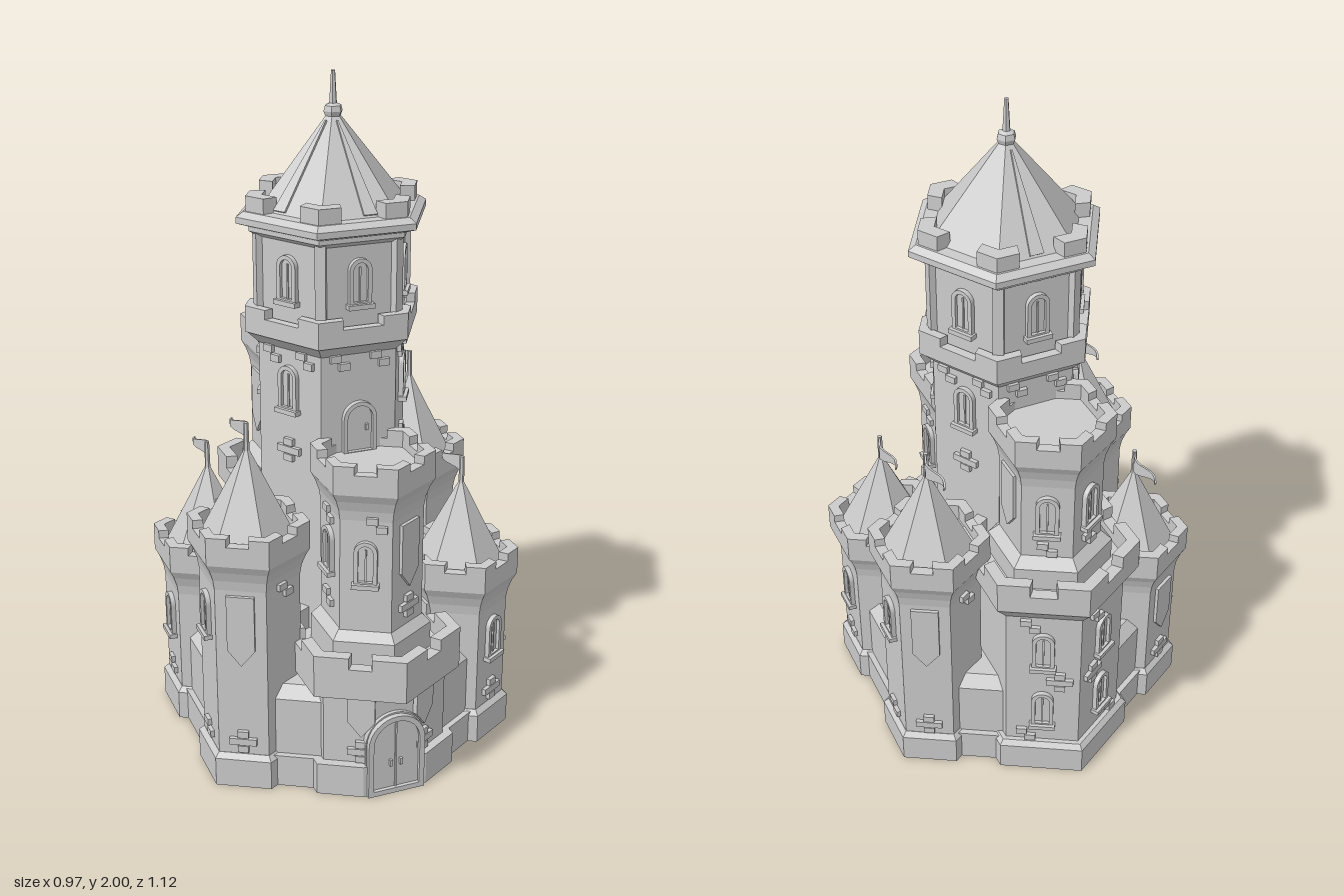
import * as THREE from 'three';

const mat = new THREE.MeshStandardMaterial({ color: 0xcccccc, flatShading: true, side: THREE.DoubleSide });
const DEG = Math.PI / 180;

function add(parent, name, geo, x = 0, y = 0, z = 0) {
  const m = new THREE.Mesh(geo, mat);
  m.name = name;
  m.position.set(x, y, z);
  parent.add(m);
  return m;
}
function group(parent, name, x = 0, y = 0, z = 0, ry = 0) {
  const g = new THREE.Group();
  g.name = name;
  g.position.set(x, y, z);
  g.rotation.y = ry;
  parent.add(g);
  return g;
}
const box = (w, h, d) => new THREE.BoxGeometry(w, h, d);

// six-sided solid from [radius, y] pairs, a corner pointing to +z
const hexLathe = (pts) => new THREE.LatheGeometry(pts.map(([r, y]) => new THREE.Vector2(r, y)), 6);

// plan shape ([x, z] points) extruded upwards from y0 to y1
function slab(points, y0, y1) {
  const s = new THREE.Shape(points.map(([x, z]) => new THREE.Vector2(x, -z)));
  return new THREE.ExtrudeGeometry(s, { depth: y1 - y0, bevelEnabled: false }).rotateX(-Math.PI / 2).translate(0, y0, 0);
}
const corner = (r, k) => [r * Math.sin(k * 60 * DEG), r * Math.cos(k * 60 * DEG)];

// hexagonal prism whose front corner is cut flat at z = cut; the top can shrink
function cutPrism(r, cut, y0, y1, top = 1) {
  const pts = [];
  if (cut < r) {
    const h = (r - cut) * Math.sqrt(3);
    pts.push([-h, cut], [h, cut]);
  } else pts.push([0, r]);
  for (let k = 1; k < 6; k++) pts.push(corner(r, k));
  const g = slab(pts, y0, y1), p = g.attributes.position;
  for (let i = 0; i < p.count; i++) {
    if (p.getY(i) > y1 - 1e-4) p.setXYZ(i, p.getX(i) * top, y1, p.getZ(i) * top);
  }
  g.computeVertexNormals();
  return g;
}

// corner-wrapping battlements on a hexagonal rim
function battlements(parent, rOut, rIn, y0, y1, gap) {
  const f = (1 - gap) / 2;
  const along = (r, a, b) => {
    const p = corner(r, a), q = corner(r, b);
    return [p[0] + (q[0] - p[0]) * f, p[1] + (q[1] - p[1]) * f];
  };
  for (let k = 0; k < 6; k++) {
    add(parent, 'battlement', slab([along(rOut, k, k - 1), corner(rOut, k), along(rOut, k, k + 1),
      along(rIn, k, k + 1), corner(rIn, k), along(rIn, k, k - 1)], y0, y1));
  }
}

// frame on a wall face: centre of the tower, wall distance, heading in degrees
function onFace(parent, name, dist, deg, y, shift = 0) {
  const g = group(parent, name, 0, y, 0, deg * DEG);
  return group(g, name + 'Mount', shift, 0, dist);
}

function archShape(w, h, Type = THREE.Shape) {
  const s = new Type();
  s.moveTo(-w / 2, 0);
  s.lineTo(w / 2, 0);
  s.lineTo(w / 2, h - w / 2);
  s.absarc(0, h - w / 2, w / 2, 0, Math.PI, false);
  s.lineTo(-w / 2, 0);
  return s;
}
const extrude = (s, depth) => new THREE.ExtrudeGeometry(s, { depth, bevelEnabled: false, curveSegments: 8 });

function arch(parent, w, h, rim, depth) {
  const frame = archShape(w, h);
  frame.holes.push(archShape(w - 2 * rim, h - 2 * rim, THREE.Path));
  frame.holes[0].curves.forEach((c) => {
    for (const k of ['v1', 'v2']) if (c[k]) c[k] = c[k].clone().add(new THREE.Vector2(0, rim));
    if (c.aY !== undefined) c.aY += rim;
  });
  add(parent, 'archFrame', extrude(frame, depth + 0.005), 0, 0, -0.005);
  add(parent, 'archPanel', extrude(archShape(w - rim, h - rim), 0.007), 0, 0, -0.003);
}

function windowAt(t, dist, deg, y, shift = 0) {
  const g = onFace(t, 'window', dist, deg, y - 0.065, shift);
  arch(g, 0.066, 0.135, 0.012, 0.014);
  add(g, 'windowSill', box(0.078, 0.014, 0.036), 0, 0, 0.006);
  add(g, 'windowBar', box(0.005, 0.1, 0.01), 0, 0.06, 0.003);
}

function shieldAt(t, dist, deg, y, h = 0.2) {
  const w = 0.04, s = new THREE.Shape();
  [[-w, h / 2], [-w, -h / 2 + 0.05], [0, -h / 2], [w, -h / 2 + 0.05], [w, h / 2]]
    .forEach(([x, v], i) => (i ? s.lineTo(x, v) : s.moveTo(x, v)));
  add(onFace(t, 'shield', dist, deg, y), 'shieldPlate', extrude(s, 0.014), 0, 0, -0.004);
}

// small groups of raised stones
const CROSS = [[0, 0.024], [-0.024, 0], [0.024, 0], [0, -0.024], [0, 0]];
const PAIR = [[-0.012, 0.013], [0.014, -0.012]];
function stonesAt(t, dist, deg, y, layout = PAIR, shift = 0) {
  const g = onFace(t, 'stones', dist, deg, y, shift);
  for (const [x, v] of layout) add(g, 'stone', box(0.032, 0.021, 0.024), x, v, 0);
}

// slim round tower whose battlements end at y = top
function tower(parent, name, x, z, y0, top) {
  const t = group(parent, name, x, 0, z);
  add(t, 'towerBody', hexLathe([[0, y0], [0.147, y0], [0.147, top - 0.17], [0.152, top - 0.14], [0.163, top - 0.11],
    [0.177, top - 0.085], [0.177, top - 0.025], [0.143, top - 0.025], [0.143, top - 0.05], [0, top - 0.05]]));
  battlements(t, 0.177, 0.143, top - 0.027, top, 0.36);
  return t;
}

function cornerTower(parent, name, x, z, top) {
  const t = tower(parent, name, x, z, 0, top);
  add(t, 'towerFoot', hexLathe([[0, 0], [0.164, 0], [0.164, 0.09], [0.148, 0.105], [0, 0.105]]));
  add(t, 'towerRoof', hexLathe([[0, top - 0.05], [0.138, top - 0.05], [0.008, top + 0.205], [0, top + 0.205]]));
  add(t, 'flagPole', new THREE.CylinderGeometry(0.007, 0.009, 0.1, 6), 0, top + 0.235, 0);
  // waving pennant streaming to the back
  const flag = new THREE.BoxGeometry(0.006, 1, 0.125, 1, 1, 8), p = flag.attributes.position;
  for (let i = 0; i < p.count; i++) {
    const u = 0.5 - p.getZ(i) / 0.125;
    p.setX(i, p.getX(i) + 0.012 * Math.sin(u * 6.2));
    p.setY(i, p.getY(i) * 0.062 * (1 - 0.9 * u));
  }
  add(t, 'pennant', flag, 0, top + 0.25, -0.065);
  return t;
}

export function createModel() {
  const castle = new THREE.Group();
  castle.name = 'castle';

  // foundation and curtain wall
  add(castle, 'foundation', cutPrism(0.52, 0.49, 0, 0.1));
  add(castle, 'curtainWall', cutPrism(0.5, 0.475, 0.1, 0.28));
  add(castle, 'curtainWallTop', cutPrism(0.5, 0.475, 0.28, 0.315, 0.93));

  // corner towers
  const body = 0.1273;
  const towers = [[1, 1, 0.6], [1, -1, 0.805], [-1, 1, 0.805], [-1, -1, 0.6]];
  for (const [sx, sz, top] of towers) {
    const tall = top > 0.7;
    const t = cornerTower(castle, tall ? 'tallCornerTower' : 'shortCornerTower', 0.333 * sx, 0.192 * sz, top);
    const diag = sz > 0 ? 30 * sx : 150 * sx, inner = sz > 0 ? -30 * sx : -150 * sx;
    windowAt(t, body, 90 * sx, tall ? 0.53 : 0.33);
    stonesAt(t, body, 90 * sx, 0.15);
    stonesAt(t, body, diag, 0.15, CROSS);
    stonesAt(t, body, inner, tall ? 0.62 : 0.22);
    if (!tall && sz > 0) windowAt(t, body, diag, 0.33);
    else shieldAt(t, body, diag, tall ? 0.51 : 0.33, tall ? 0.22 : 0.19);
  }

  // gatehouse: clipped lower storey, balcony, upper tower and gate
  const front = group(castle, 'gatehouse', 0, 0, 0.297);
  add(front, 'gatehouseFoot', cutPrism(0.25, 0.193, 0, 0.1));
  add(front, 'gatehouseBody', cutPrism(0.22, 0.178, 0.1, 0.34));
  add(front, 'balcony', hexLathe([[0, 0.33], [0.262, 0.33], [0.262, 0.425], [0.222, 0.425], [0.222, 0.39], [0, 0.39]]));
  battlements(front, 0.262, 0.222, 0.423, 0.46, 0.25);
  add(front, 'towerSkirt', hexLathe([[0.175, 0.39], [0.175, 0.47], [0.147, 0.5]]));
  const gate = group(front, 'gate', 0, 0, 0.19);
  add(gate, 'gatePorch', extrude(archShape(0.18, 0.26), 0.02), 0, 0, -0.021);
  arch(gate, 0.175, 0.255, 0.016, 0.015);
  add(gate, 'doorSeam', box(0.005, 0.22, 0.008), 0, 0.12, 0.004);
  for (const s of [-1, 1]) {
    add(gate, 'doorHandle', box(0.008, 0.02, 0.014), 0.016 * s, 0.1, 0.006);
    shieldAt(front, 0.1905, 30 * s, 0.265, 0.15);
    stonesAt(front, 0.1905, 30 * s, 0.14, CROSS);
  }
  const upFront = tower(castle, 'gatehouseTower', 0, 0.3, 0.3, 1.01);
  windowAt(upFront, body, -30, 0.71);
  stonesAt(upFront, body, -30, 0.83, PAIR, 0.03);
  shieldAt(upFront, body, 30, 0.72);
  stonesAt(upFront, body, 30, 0.56, CROSS);
  for (const s of [-1, 1]) {
    windowAt(upFront, body, 90 * s, 0.72);
    stonesAt(upFront, body, 90 * s, 0.57);
    stonesAt(upFront, body, 90 * s, 0.83);
  }

  // rear bastion with its upper tower
  const rear = group(castle, 'rearBastion', 0, 0, -0.302);
  add(rear, 'rearBastionBody', hexLathe([[0, 0], [0.25, 0], [0.25, 0.09], [0.235, 0.105], [0.22, 0.105], [0.22, 0.61],
    [0.262, 0.66], [0.262, 0.72], [0.222, 0.72], [0.222, 0.69], [0.18, 0.69], [0.18, 0.76], [0.147, 0.79]]));
  battlements(rear, 0.262, 0.222, 0.718, 0.76, 0.3);
  const upRear = tower(castle, 'rearTower', 0, -0.302, 0.6, 1.21);
  for (const s of [-1, 1]) {
    windowAt(rear, 0.1905, 150 * s, 0.48);
    windowAt(rear, 0.1905, 150 * s, 0.24);
    stonesAt(rear, 0.1905, 150 * s, 0.36, CROSS, 0.05 * s);
    stonesAt(rear, 0.1905, 150 * s, 0.13, PAIR, -0.05 * s);
    stonesAt(rear, 0.1905, 150 * s, 0.58, PAIR, -0.04);
    windowAt(upRear, body, 150 * s, 0.94);
    shieldAt(upRear, body, 90 * s, 0.95);
    stonesAt(upRear, body, 150 * s, 0.82);
  }

  // keep, turned so a flat side faces the front
  const keep = group(castle, 'keep');
  const hex = group(keep, 'keepMasonry', 0, 0, 0, 30 * DEG);
  add(hex, 'keepBody', hexLathe([[0, 0.2], [0.226, 0.2], [0.226, 1.25], [0.262, 1.285], [0.266, 1.285], [0.266, 1.335],
    [0.235, 1.335], [0.235, 1.31], [0, 1.31]]));
  battlements(hex, 0.266, 0.236, 1.333, 1.362, 0.45);
  add(hex, 'lanternRoom', hexLathe([[0, 1.3], [0.225, 1.3], [0.225, 1.56], [0.25, 1.575], [0.25, 1.588], [0.287, 1.6],
    [0.287, 1.618], [0.265, 1.632], [0, 1.632]]));
  battlements(hex, 0.258, 0.21, 1.625, 1.675, 0.5);
  add(hex, 'keepRoof', hexLathe([[0, 1.63], [0.225, 1.63], [0.012, 1.89], [0, 1.89]]));
  add(hex, 'finialBase', hexLathe([[0, 1.87], [0.022, 1.875], [0.028, 1.89], [0.024, 1.905], [0.01, 1.912], [0, 1.912]]));
  add(hex, 'finial', new THREE.CylinderGeometry(0.006, 0.012, 0.1, 6), 0, 1.95, 0);
  for (let k = 0; k < 6; k++) {
    const [x, z] = corner(0.223, k);
    add(hex, 'cornerPost', box(0.03, 0.25, 0.024), x, 1.46, z).rotation.y = k * 60 * DEG;
    windowAt(keep, 0.195, k * 60, 1.455);
    if (k % 3) windowAt(keep, 0.196, k * 60, 1.135);
    stonesAt(keep, 0.196, k * 60, 1.23, PAIR, -0.06);
    stonesAt(keep, 0.196, k * 60, 1.23, PAIR, 0.06);
    if (k % 3) stonesAt(keep, 0.196, k * 60, 0.95, CROSS);
  }
  // doors onto the tower tops
  const door = onFace(keep, 'keepDoor', 0.196, 0, 0.95);
  arch(door, 0.1, 0.16, 0.012, 0.016);
  add(door, 'doorHandle', box(0.008, 0.018, 0.014), 0.022, 0.08, 0.006);

  // three slim ridges down the roof
  for (const deg of [180, 10, -70]) {
    const near = Math.round(deg / 60) * 60;
    const mount = group(keep, 'roofRidge', 0, 1.875, 0, near * DEG);
    const s = new THREE.Shape();
    const lean = Math.tan((deg - near) * DEG) * 0.19;
    s.moveTo(0.002, -0.03);
    s.lineTo(lean + 0.02, -0.31);
    s.lineTo(lean - 0.02, -0.31);
    s.lineTo(-0.002, -0.03);
    add(mount, 'ridgePlate', extrude(s, 0.012), 0, 0.012, 0.006).rotation.x = -Math.atan(0.184 / 0.26);
  }
  return castle;
}
